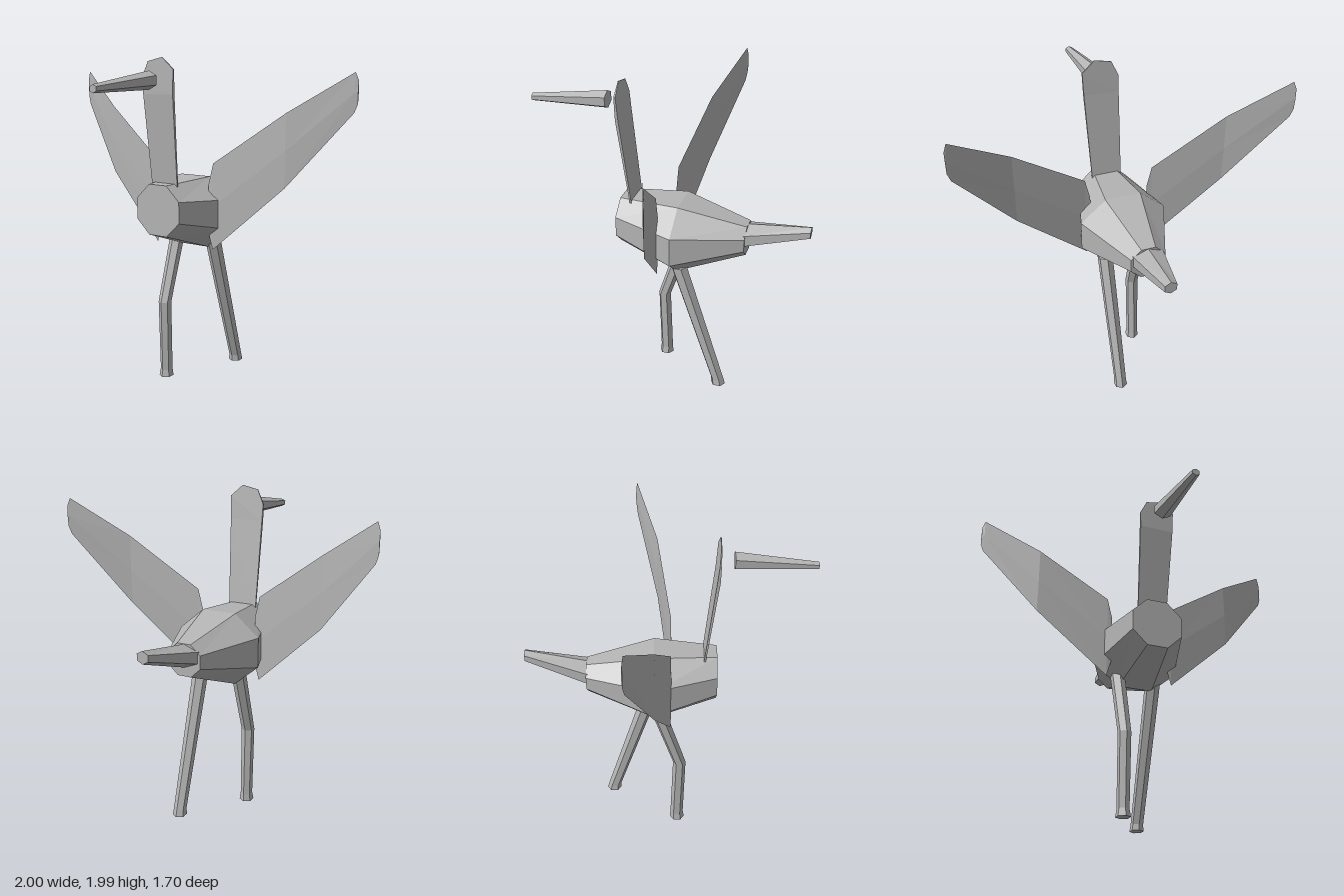
import * as THREE from 'three';

// Closed flat-sided solid through a list of rings; faces are turned outward by signed volume.
function loft(rings) {
  const n = rings[0].length;
  const tris = [];
  for (let r = 0; r < rings.length - 1; r++) {
    const a = rings[r], b = rings[r + 1];
    for (let i = 0; i < n; i++) {
      const j = (i + 1) % n;
      tris.push([a[i], a[j], b[j]], [a[i], b[j], b[i]]);
    }
  }
  const first = rings[0], last = rings[rings.length - 1];
  for (let i = 1; i < n - 1; i++) {
    tris.push([first[0], first[i + 1], first[i]], [last[0], last[i], last[i + 1]]);
  }
  let volume = 0;
  const cross = new THREE.Vector3();
  for (const [a, b, c] of tris) volume += a.dot(cross.crossVectors(b, c));
  if (volume < 0) tris.forEach((t) => t.reverse());
  const geometry = new THREE.BufferGeometry().setFromPoints(tris.flat());
  geometry.computeVertexNormals();
  return geometry;
}

const V = (x, y, z) => new THREE.Vector3(x, y, z);

// Polygon ring facing along z
function ringZ(x, y, z, rx, ry, sides, turn) {
  return Array.from({ length: sides }, (_, i) => {
    const a = turn + (i / sides) * Math.PI * 2;
    return V(x + rx * Math.cos(a), y + ry * Math.sin(a), z);
  });
}

// Horizontal hexagon ring, corners toward front and back
function ringY(x, y, z, rx, rz) {
  return Array.from({ length: 6 }, (_, i) => {
    const a = (i / 6) * Math.PI * 2;
    return V(x + rx * Math.sin(a), y, z + rz * Math.cos(a));
  });
}

export function createModel() {
  const group = new THREE.Group();
  const grey = new THREE.MeshStandardMaterial({ color: 0xb4b4b4, flatShading: true });
  grey.name = 'plain grey';

  function add(name, rings) {
    const mesh = new THREE.Mesh(loft(rings), grey);
    mesh.name = name;
    group.add(mesh);
  }

  // Eight-sided barrel body: z, centre height, half width, half height
  const flat = Math.cos(Math.PI / 8);
  add('body', [
    [0.305, 1.112, 0.155, 0.15],
    [-0.07, 1.062, 0.263, 0.22],
    [-0.475, 1.095, 0.103, 0.096],
  ].map(([z, y, w, h]) => ringZ(0, y, z, w / flat, h / flat, 8, Math.PI / 8)));

  // Six-sided tapering tail and beak
  const up = Math.PI / 2;
  add('tail', [
    ringZ(0, 1.118, -0.465, 0.105, 0.07, 6, up),
    ringZ(0.025, 1.212, -0.845, 0.04, 0.037, 6, up),
  ]);
  add('beak', [
    ringZ(0.008, 1.86, 0.382, 0.06, 0.053, 6, up),
    ringZ(0.022, 1.822, 0.85, 0.025, 0.023, 6, up),
  ]);

  // Thin neck and head plate: left x and y, right x and y, z, half thickness
  add('neckAndHead', [
    [-0.095, 1.25, 0.09, 1.25, 0.23, 0.005],
    [-0.103, 1.78, 0.11, 1.78, 0.292, 0.009],
    [-0.105, 1.88, 0.115, 1.92, 0.298, 0.005],
    [-0.065, 1.965, 0.038, 1.987, 0.302, 0.002],
  ].map(([xa, ya, xb, yb, z, t]) => [
    V(xa, ya, z - t), V(xb, yb, z - t), V(xb, yb, z + t), V(xa, ya, z + t),
  ]));

  // Thin swept wings: distance out, bottom, top, z
  const wing = [
    [0.18, 0.96, 1.25, 0.032],
    [0.21, 0.855, 1.375, 0.03],
    [0.64, 1.255, 1.68, -0.055],
    [0.983, 1.685, 1.905, -0.188],
    [1.0, 1.735, 1.86, -0.195],
  ];
  for (const side of [1, -1]) {
    add(side > 0 ? 'leftWing' : 'rightWing', wing.map(([out, bottom, top, z]) => {
      const x = side * out - 0.0125 * (1 - out);
      const mid = (bottom + top) / 2;
      return [V(x, bottom, z), V(x, mid, z + 0.004), V(x, top, z), V(x, mid, z - 0.004)];
    }));
  }

  // Six-sided legs ending in small flared feet
  add('rightLeg', [
    ringY(-0.122, 0.9, -0.045, 0.045, 0.045),
    ringY(-0.122, 0.49, 0.087, 0.04, 0.04),
    ringY(-0.122, 0.045, 0.073, 0.036, 0.041),
    ringY(-0.122, 0.0, 0.075, 0.044, 0.047),
  ]);
  add('leftLeg', [
    ringY(0.122, 0.89, -0.085, 0.047, 0.052),
    ringY(0.122, 0.07, -0.352, 0.038, 0.042),
    ringY(0.122, 0.033, -0.357, 0.043, 0.047),
  ]);

  return group;
}
